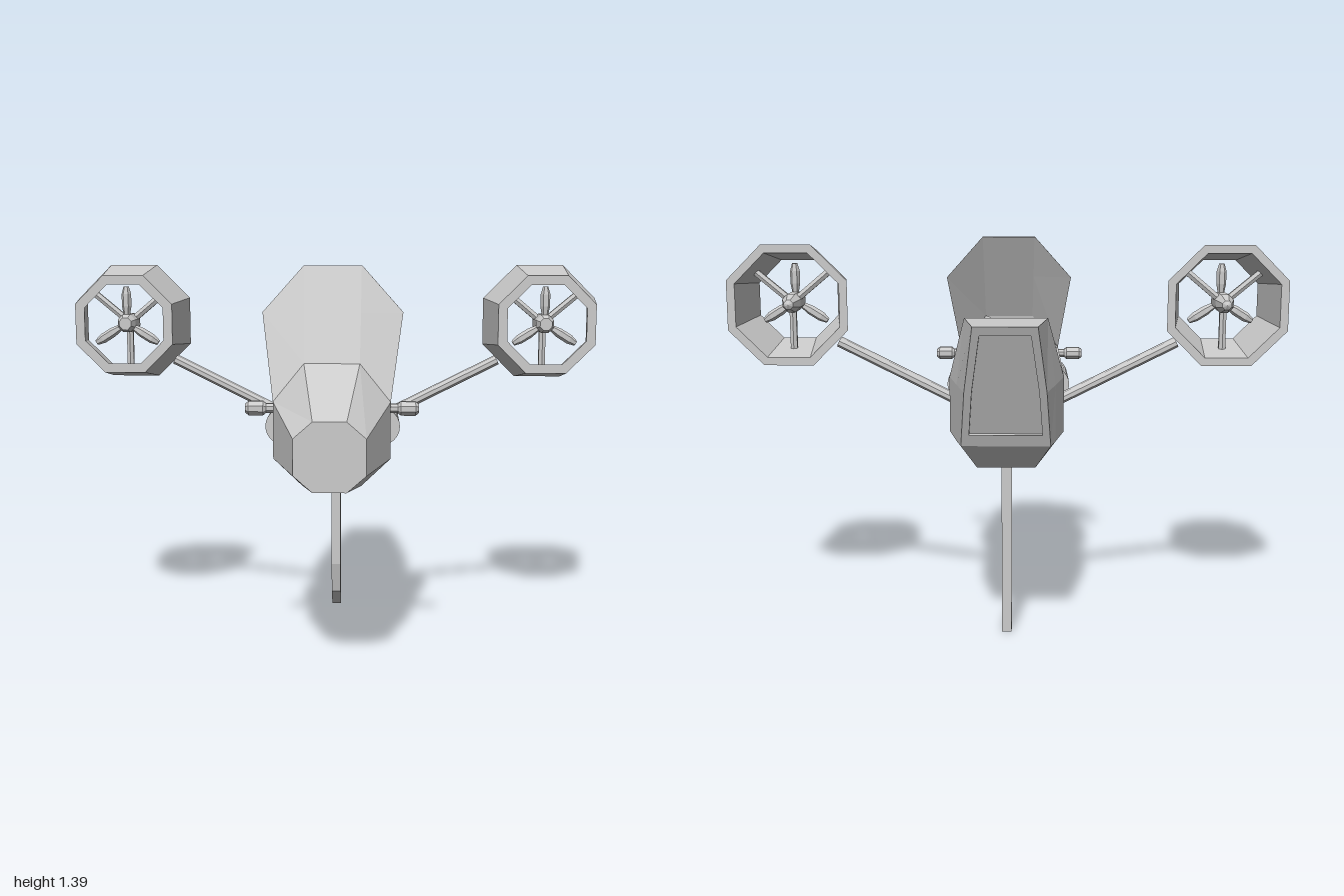
import * as THREE from 'three';

const mat = new THREE.MeshStandardMaterial({ color: 0xcccccc, flatShading: true });
const smooth = new THREE.MeshStandardMaterial({ color: 0xcccccc });

function add(parent, name, geometry, material = mat) {
  const mesh = new THREE.Mesh(geometry, material);
  mesh.name = name;
  parent.add(mesh);
  return mesh;
}

// Skin a list of half cross-sections, each mirrored in x, with capped ends.
function loft(halves) {
  const rings = halves.map(h => [...h, ...[...h].reverse().map(([x, y, z]) => [-x, y, z])]);
  const n = rings[0].length, pos = [];
  const tri = (a, b, c) => pos.push(...a, ...b, ...c);
  for (let r = 0; r < rings.length - 1; r++) {
    const a = rings[r], b = rings[r + 1];
    for (let i = 0; i < n; i++) {
      const j = (i + 1) % n;
      tri(a[i], b[i], b[j]);
      tri(a[i], b[j], a[j]);
    }
  }
  const first = rings[0], last = rings[rings.length - 1];
  for (let i = 1; i < n - 1; i++) {
    tri(first[0], first[i], first[i + 1]);
    tri(last[0], last[i + 1], last[i]);
  }
  const g = new THREE.BufferGeometry();
  g.setAttribute('position', new THREE.Float32BufferAttribute(pos, 3));
  g.computeVertexNormals();
  return g;
}

const lathe = (points, sides) =>
  new THREE.LatheGeometry(points.map(p => new THREE.Vector2(...p)), sides, Math.PI / sides);

// Point on the sloping rear face
const rear = (x, y, depth = 0) => [x, y, -0.575 - (y - 0.745) * 0.405 + depth];

function createHull() {
  const vent = depth => [rear(0.1, 0.785, depth), rear(0.122, 0.785, depth),
    rear(0.11, 0.94, depth), rear(0.082, 1.135, depth)];
  // Each section: bottom, lower side, upper side, top
  return loft([
    [[0.055, 0.68, 0.745], [0.118, 0.735, 0.745], [0.118, 0.855, 0.745], [0.055, 0.91, 0.745]],
    [[0.1, 0.65, 0.47], [0.2, 0.745, 0.47], [0.2, 0.94, 0.47], [0.095, 1.068, 0.45]],
    [[0.1, 0.65, 0.42], [0.2, 0.745, 0.42], [0.2, 0.94, 0.42], [0.2, 0.94, 0.42]],
    [[0.1, 0.65, -0.33], [0.2, 0.745, -0.33], [0.2, 0.94, -0.33], [0.2, 0.94, -0.33]],
    [[0.1, 0.65, -0.44], [0.167, 0.745, -0.5], [0.167, 0.94, -0.5], [0.14, 1.165, -0.5]],
    [[0.1, 0.65, -0.48], rear(0.15, 0.745), rear(0.135, 0.94), rear(0.104, 1.165)],
    [rear(0.1, 0.745), rear(0.15, 0.745), rear(0.135, 0.94), rear(0.104, 1.165)],
    vent(0), vent(0.03),
  ]);
}

// Folded plate leaning back from the nose ridge
function createShield() {
  const section = (inner, outer, t = 0.015) => {
    const back = ([x, y, z]) => [x, y, z - t];
    return [back(inner), back(outer), outer, inner];
  };
  return loft([
    section([0.095, 1.068, 0.45], [0.2, 0.94, 0.47]),
    section([0.098, 1.235, 0.367], [0.245, 1.235, 0.315]),
    section([0.1, 1.395, 0.288], [0.102, 1.395, 0.288]),
  ]);
}

function createFan() {
  const fan = new THREE.Group();
  fan.name = 'ductedFan';

  // Octagonal duct, wider at the rear
  const k = 1 / Math.cos(Math.PI / 8);
  const profile = [[0.215, -0.205], [0.18, 0.035], [0.146, 0.035], [0.186, -0.205], [0.215, -0.205]];
  add(fan, 'duct', lathe(profile.map(([r, z]) => [r * k, z]), 8).rotateX(Math.PI / 2));

  // Hub with pointed tail
  add(fan, 'hub', lathe([[0, -0.19], [0.018, -0.18], [0.036, -0.12], [0.036, -0.02], [0.024, 0.01], [0, 0.01]], 8)
    .rotateX(Math.PI / 2));

  // Three struts hold the hub, three blades turn in front
  for (const deg of [40, 140, 270]) {
    const strut = add(fan, 'strut', new THREE.CylinderGeometry(0.014, 0.014, 0.165, 6).translate(0, 0.0975, -0.09));
    strut.rotation.z = THREE.MathUtils.degToRad(deg - 90);
  }
  for (const deg of [90, 212, 328]) {
    const blade = add(fan, 'blade', lathe(
      [[0, 0.02], [0.01, 0.02], [0.018, 0.065], [0.018, 0.11], [0.01, 0.138], [0, 0.138]], 6));
    blade.position.z = -0.03;
    blade.rotation.z = THREE.MathUtils.degToRad(deg - 90);
  }
  return fan;
}

// Everything mounted on one flank
function createFlank(side) {
  const flank = new THREE.Group();
  flank.name = side > 0 ? 'leftFlank' : 'rightFlank';

  // Arm
  const from = new THREE.Vector3(side * 0.17, 0.81, -0.105);
  const to = new THREE.Vector3(side * 0.615, 1.033, -0.105);
  const arm = add(flank, 'arm', new THREE.CylinderGeometry(1, 1, from.distanceTo(to), 8)
    .rotateY(Math.PI / 8).scale(0.019, 1, 0.038));
  arm.position.copy(from).lerp(to, 0.5);
  arm.quaternion.setFromUnitVectors(new THREE.Vector3(0, 1, 0), to.clone().sub(from).normalize());

  const fan = createFan();
  fan.position.set(side * 0.785, 1.175, 0);
  flank.add(fan);

  // Half-sunk side pod
  const pod = add(flank, 'sidePod', new THREE.CylinderGeometry(0.065, 0.065, 0.25, 24).rotateX(Math.PI / 2), smooth);
  pod.geometry = pod.geometry.toNonIndexed();
  pod.position.set(side * 0.17, 0.84, 0.235);

  // Short peg with a thicker end
  const peg = add(flank, 'peg', lathe(
    [[0, 0.15], [0.017, 0.15], [0.017, 0.225], [0.026, 0.235], [0.026, 0.285], [0.016, 0.297], [0, 0.297]], 8));
  peg.position.set(0, 0.915, 0.44);
  peg.rotation.z = -side * Math.PI / 2;
  return flank;
}

export function createModel() {
  const model = new THREE.Group();
  model.name = 'aircraft';
  add(model, 'hull', createHull());
  add(model, 'shield', createShield());
  add(model, 'roofPanel', new THREE.BoxGeometry(0.275, 0.08, 0.52)).position.set(0, 0.96, -0.02);

  // Keel fin, outlined in z and y, then turned to lie along the hull
  const outline = [[-0.2, 0.66], [-0.2, 0.2], [-0.23, 0.08], [-0.33, 0], [-0.33, 0.66]];
  const shape = new THREE.Shape(outline.map(([z, y]) => new THREE.Vector2(-z, y)));
  add(model, 'keelFin', new THREE.ExtrudeGeometry(shape, { depth: 0.036, bevelEnabled: false })
    .translate(0, 0, -0.018).rotateY(Math.PI / 2));

  for (const side of [1, -1]) model.add(createFlank(side));
  return model;
}
